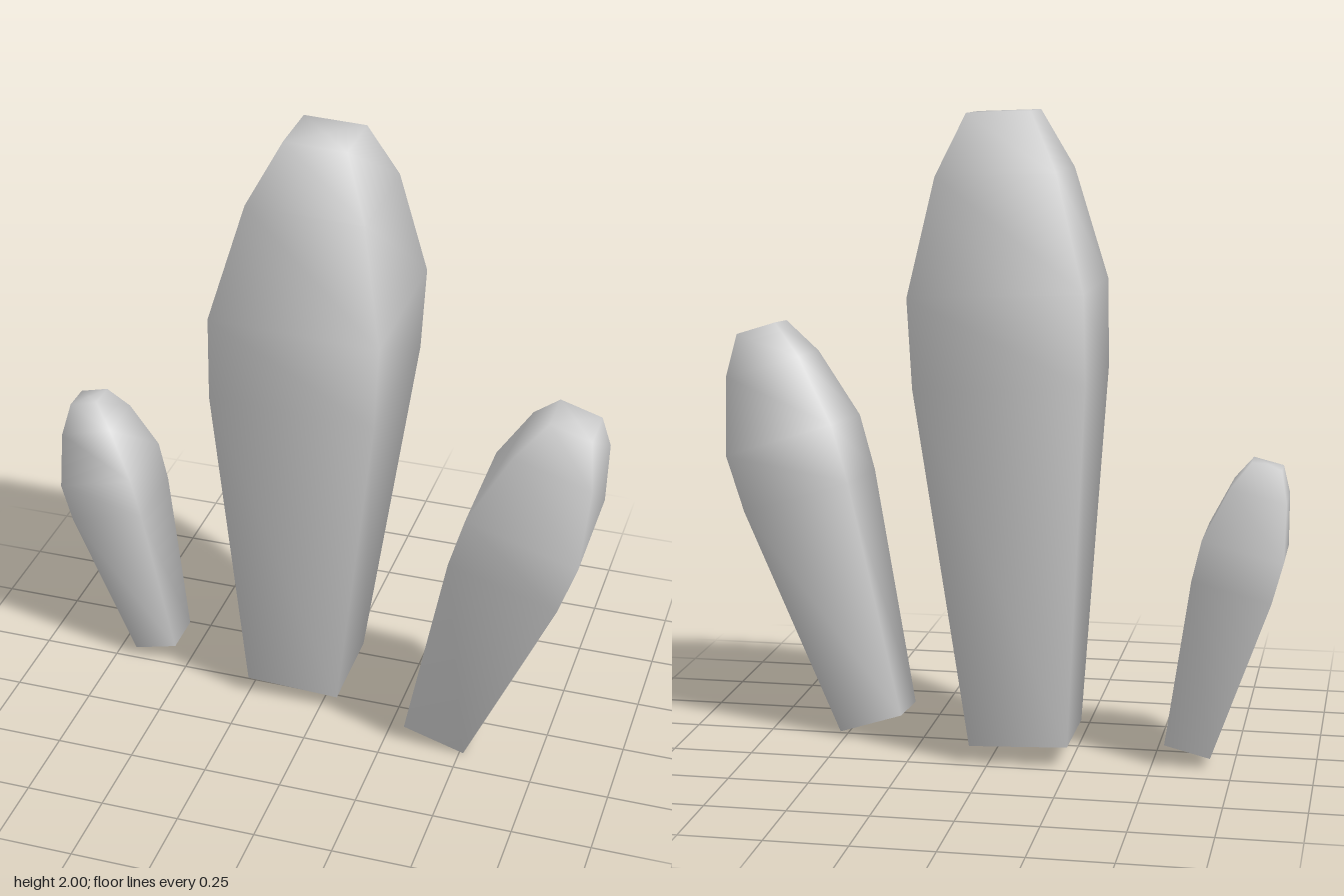
import * as THREE from 'three';

// Square-section crystal outline: [distance along axis, half width], for a unit length
const PROFILE = [
  [0, 0.079], [0.583, 0.1345], [0.724, 0.137], [0.906, 0.0945], [1, 0.0505],
];

// One tapered four-sided crystal running from the base centre to the tip centre
function crystal(name, base, tip) {
  const start = new THREE.Vector3(...base);
  const axis = new THREE.Vector3(...tip).sub(start);
  const length = axis.length();
  const points = [
    new THREE.Vector2(0, 0),
    ...PROFILE.map(([t, half]) => new THREE.Vector2(half * Math.SQRT2 * length, t * length)),
    new THREE.Vector2(0, length),
  ];
  const geometry = new THREE.LatheGeometry(points, 4, Math.PI / 4);
  const material = new THREE.MeshStandardMaterial({ color: 0xcccccc });
  const mesh = new THREE.Mesh(geometry, material);
  mesh.name = name;
  mesh.position.copy(start);
  mesh.quaternion.setFromUnitVectors(new THREE.Vector3(0, 1, 0), axis.normalize());
  return mesh;
}

export function createModel() {
  const group = new THREE.Group();
  group.name = 'crystalCluster';
  group.add(
    crystal('tallCrystal', [-0.095, 0.06, -0.077], [-0.018, 1.996, -0.043]),
    crystal('mediumCrystal', [0.415, 0.04, 0.07], [0.812, 1.29, 0.17]),
    crystal('smallCrystal', [-0.61, 0.052, -0.083], [-0.835, 0.949, -0.085]),
  );
  return group;
}
